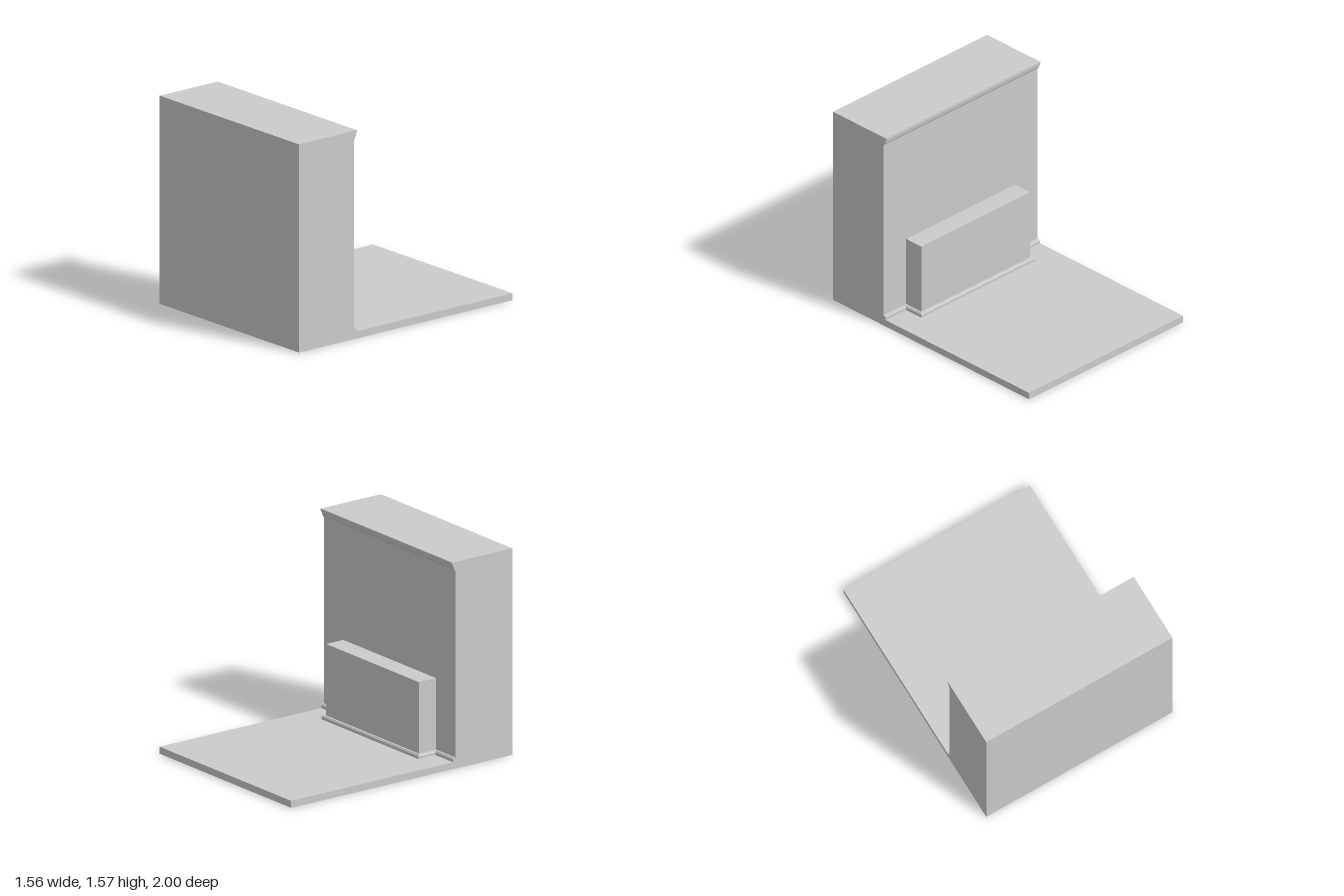
import * as THREE from 'three';

const material = new THREE.MeshStandardMaterial({ color: 0xcccccc });
const HALF = 0.78, HEIGHT = 1.565, FLOOR = 0.053, WALL = 0.485;
const BREAST = { half: 0.55, z: 0.33, top: 0.625 };

function addMesh(group, name, geometry) {
  const mesh = new THREE.Mesh(geometry, material);
  mesh.name = name;
  group.add(mesh);
}

// Box given by its limits on each axis
function block(x0, x1, y0, y1, z0, z1) {
  return new THREE.BoxGeometry(x1 - x0, y1 - y0, z1 - z0)
    .translate((x0 + x1) / 2, (y0 + y1) / 2, (z0 + z1) / 2);
}

// Sweeps a profile of [projection, y] along mitred corners [x, z, outX, outZ]
function moulding(path, profile) {
  const positions = [];
  const at = (i, j) => {
    const [x, z, ox, oz] = path[i], [d, y] = profile[j];
    return [x + ox * d, y, z + oz * d];
  };
  const triangle = (a, b, c) => positions.push(...a, ...b, ...c);
  for (let i = 0; i < path.length - 1; i++) {
    for (let j = 0; j < profile.length - 1; j++) {
      const a = at(i, j), b = at(i + 1, j), c = at(i + 1, j + 1), d = at(i, j + 1);
      triangle(a, d, c);
      triangle(a, c, b);
    }
  }
  // End caps
  const last = path.length - 1;
  const faces = THREE.ShapeUtils.triangulateShape(profile.map(p => new THREE.Vector2(...p)), []);
  for (const [a, b, c] of faces) {
    triangle(at(last, a), at(last, b), at(last, c));
    triangle(at(0, a), at(0, c), at(0, b));
  }
  const geometry = new THREE.BufferGeometry();
  geometry.setAttribute('position', new THREE.Float32BufferAttribute(positions, 3));
  geometry.computeVertexNormals();
  return geometry;
}

export function createModel() {
  const group = new THREE.Group();
  group.name = 'roomCorner';

  // Floor slab, thick wall and the low block projecting from it
  addMesh(group, 'floor', block(-HALF, HALF, 0, FLOOR, -1, WALL));
  addMesh(group, 'wall', block(-HALF, HALF, 0, HEIGHT, WALL, 1));
  addMesh(group, 'chimneyBreast',
    block(-BREAST.half, BREAST.half, FLOOR, BREAST.top, BREAST.z, WALL));

  // Skirting follows the wall and wraps round the block
  addMesh(group, 'skirting', moulding([
    [-HALF, WALL, 0, -1],
    [-BREAST.half, WALL, -1, -1],
    [-BREAST.half, BREAST.z, -1, -1],
    [BREAST.half, BREAST.z, 1, -1],
    [BREAST.half, WALL, 1, -1],
    [HALF, WALL, 0, -1],
  ], [
    [0, FLOOR], [0.023, FLOOR], [0.023, 0.073], [0.02, 0.078], [0.016, 0.079],
    [0.015, 0.083], [0, 0.084],
  ]));

  // Stepped crown moulding along the top of the wall
  addMesh(group, 'crownMoulding', moulding([
    [-HALF, WALL, 0, -1],
    [HALF, WALL, 0, -1],
  ], [
    [0, 1.492], [0.005, 1.496], [0.005, 1.503], [0.009, 1.506], [0.013, 1.514],
    [0.019, 1.526], [0.019, 1.533], [0.023, 1.537], [0.025, 1.548],
    [0.029, 1.552], [0.029, HEIGHT], [0, HEIGHT],
  ]));

  return group;
}
